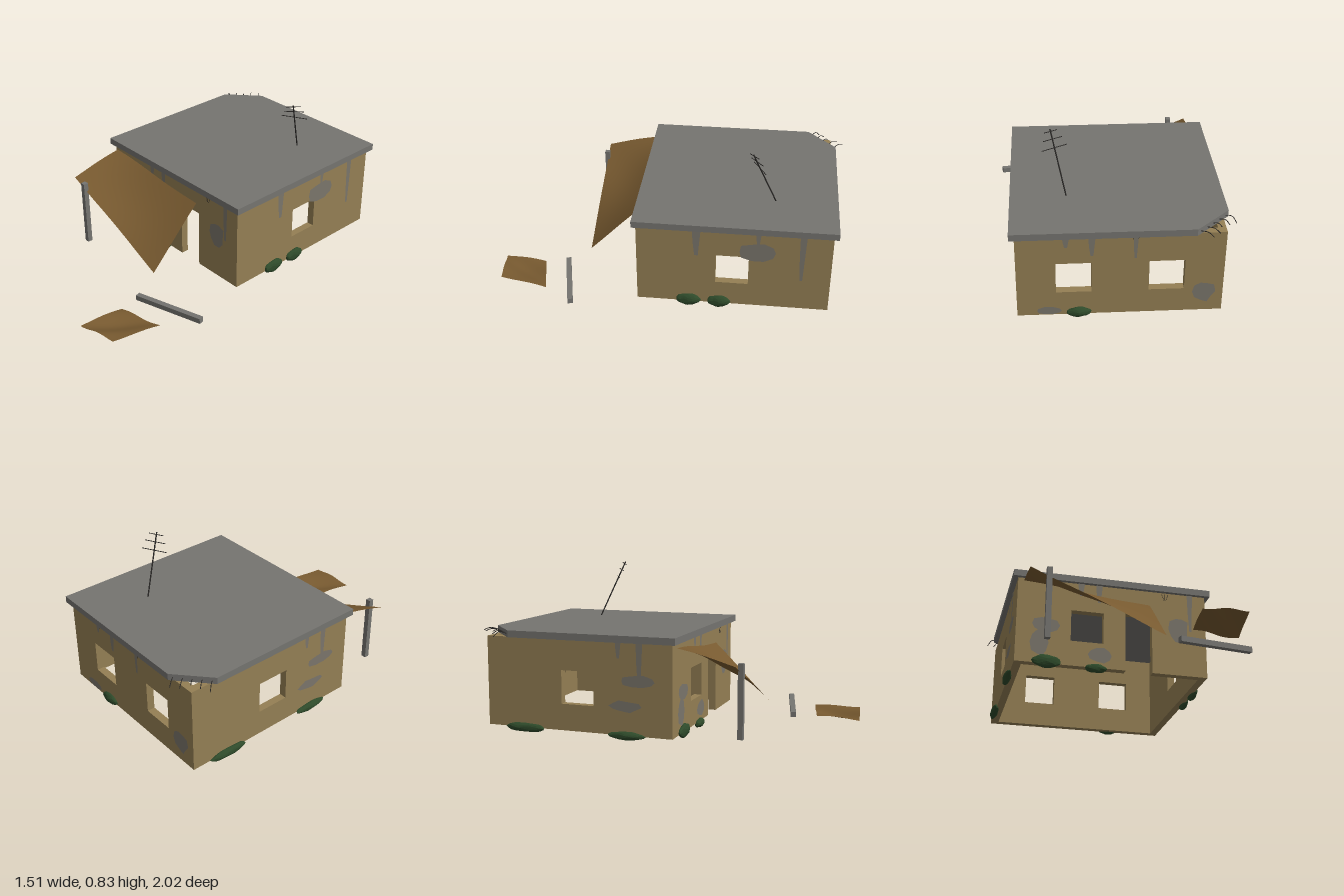
import * as THREE from 'three';

const mat = (name, color, extra = {}) => {
  const m = new THREE.MeshStandardMaterial({ color, ...extra });
  m.name = name;
  return m;
};

let seed = 7;
const rand = () => (seed = (seed * 16807) % 2147483647) / 2147483647;
const V = (x, y, z) => new THREE.Vector3(x, y, z);

export function createModel() {
  const plaster = mat('tan plaster', 0x947f54);
  const concrete = mat('grey concrete', 0x757470);
  const patchGrey = mat('bare concrete', 0x7a756b);
  const cloth = mat('brown cloth', 0x785a30, { side: THREE.DoubleSide });
  const leaf = mat('dark green', 0x2e4a2a, { flatShading: true });
  const iron = mat('dark iron', 0x2a2826);

  const model = new THREE.Group();
  model.name = 'ruinedHouse';
  const add = (parent, name, geometry, material) => {
    const mesh = new THREE.Mesh(geometry, material);
    mesh.name = name;
    parent.add(mesh);
    return mesh;
  };
  // Round bar between two points
  const rod = (parent, name, a, b, r) => {
    const m = add(parent, name, new THREE.CylinderGeometry(r, r, a.distanceTo(b), 6), iron);
    m.position.copy(a).lerp(b, 0.5);
    m.quaternion.setFromUnitVectors(V(0, 1, 0), b.clone().sub(a).normalize());
  };

  // The house stands turned on its plot
  const house = new THREE.Group();
  house.name = 'house';
  house.position.set(0.045, 0, -0.322);
  house.rotation.y = -0.487;
  model.add(house);

  const BASE = 0.03, TOP = 0.49, T = 0.04;
  const win = (x0, x1) => [x0, x1, 0.165, 0.335];

  const rect = (path, x0, x1, y0, y1) => {
    path.moveTo(x0, y0);
    path.lineTo(x1, y0);
    path.lineTo(x1, y1);
    path.lineTo(x0, y1);
    path.closePath();
    return path;
  };

  // One wall side: x runs along the wall, z = 0 is its outer face
  function wallSide(name, angle, half, { windows, door, patches, streaks, bushes, cracks = [] }) {
    const side = new THREE.Group();
    side.name = name;
    side.rotation.y = angle;
    side.position.set(Math.sin(angle) * 0.5, 0, Math.cos(angle) * 0.5);
    house.add(side);

    const s = new THREE.Shape();
    if (door) {
      [[-half, BASE], [door[0], BASE], [door[0], door[2]], [door[1], door[2]], [door[1], BASE],
        [half, BASE], [half, TOP], [-half, TOP]].forEach(([x, y], i) => (i ? s.lineTo(x, y) : s.moveTo(x, y)));
      s.closePath();
    } else rect(s, -half, half, BASE, TOP);
    windows.forEach(w => s.holes.push(rect(new THREE.Path(), ...w)));
    const geo = new THREE.ExtrudeGeometry(s, { depth: T, bevelEnabled: false });
    add(side, 'wall', geo.translate(0, 0, -T), plaster);

    // Ragged spots where the plaster has fallen off
    patches.forEach(([x, y, w, h]) => {
      const pts = [];
      for (let i = 0; i < 10; i++) {
        const a = (i / 10) * Math.PI * 2, r = 0.42 + 0.16 * rand();
        pts.push(new THREE.Vector2(x + Math.cos(a) * w * r, y + Math.sin(a) * h * r));
      }
      add(side, 'plasterPatch', new THREE.ShapeGeometry(new THREE.Shape(pts)), patchGrey).position.z = 0.003;
    });

    // Tapering streaks running down from the roof
    streaks.forEach(([x, w, bottom]) => {
      const mid = (TOP + bottom) / 2;
      const pts = [[-0.5, TOP], [-0.4, mid], [-0.2, bottom], [0.2, bottom], [0.35, mid], [0.5, TOP]]
        .map(([k, y]) => new THREE.Vector2(x + k * w, y));
      add(side, 'streak', new THREE.ShapeGeometry(new THREE.Shape(pts)), patchGrey).position.z = 0.004;
    });

    // Fine cracks under the roof
    cracks.forEach(x => [-0.018, 0, 0.018].forEach(d =>
      rod(side, 'crack', V(x + d, TOP - 0.005, 0), V(x + d * 0.3, TOP - 0.04, 0), 0.0012)));

    // Low flat bushes along the foot
    bushes.forEach(([x, y, w, h]) => {
      const g = new THREE.IcosahedronGeometry(1, 2);
      const p = g.attributes.position;
      for (let i = 0; i < p.count; i++) {
        const a = p.getX(i), b = p.getY(i), c = p.getZ(i);
        const k = 0.93 + 0.07 * Math.sin(5 * a + 3 * c + x * 40) * Math.cos(4 * b);
        p.setXYZ(i, a * k * w / 2, b * k * h / 2, c * k * 0.022);
      }
      g.computeVertexNormals();
      add(side, 'bush', g, leaf).position.set(x, y, 0.004);
    });
  }

  wallSide('frontSide', 0, 0.5, {
    windows: [win(-0.22, -0.05)], door: [0.066, 0.207, 0.35],
    patches: [[0.35, 0.285, 0.11, 0.14], [-0.38, 0.14, 0.09, 0.15], [-0.35, 0.24, 0.13, 0.08], [-0.07, 0.1, 0.13, 0.08]],
    streaks: [[-0.17, 0.035, 0.42], [-0.075, 0.035, 0.39], [0.415, 0.03, 0.28]],
    bushes: [[-0.34, 0.04, 0.16, 0.075], [-0.09, 0.025, 0.12, 0.05]], cracks: [0.28],
  });
  wallSide('backSide', Math.PI, 0.5, {
    windows: [win(-0.31, -0.138), win(0.138, 0.31)],
    patches: [[0.405, 0.145, 0.11, 0.12], [-0.345, 0.055, 0.13, 0.045]],
    streaks: [[-0.26, 0.035, 0.43], [-0.137, 0.035, 0.38], [0.07, 0.025, 0.36]],
    bushes: [[-0.2, 0.045, 0.13, 0.06]], cracks: [-0.26, 0.07],
  });
  wallSide('rightSide', Math.PI / 2, 0.46, {
    windows: [win(-0.09, 0.08)],
    patches: [[0.125, 0.37, 0.19, 0.11]],
    streaks: [[-0.19, 0.045, 0.33], [0.125, 0.03, 0.42], [0.35, 0.035, 0.21]],
    bushes: [[-0.23, 0.043, 0.14, 0.075], [-0.07, 0.043, 0.13, 0.075]],
  });
  wallSide('leftSide', -Math.PI / 2, 0.46, {
    windows: [win(-0.087, 0.087)],
    patches: [[0.32, 0.3, 0.18, 0.06], [0.25, 0.175, 0.17, 0.055]],
    streaks: [[0.33, 0.035, 0.28], [0.22, 0.03, 0.41]],
    bushes: [[-0.29, 0.03, 0.23, 0.05], [0.26, 0.03, 0.21, 0.045]],
  });

  // Roof slab with one broken corner
  const slab = new THREE.Shape([[-0.525, -0.52], [0.525, -0.52], [0.525, 0.523], [-0.355, 0.523], [-0.525, 0.37]]
    .map(([x, y]) => new THREE.Vector2(x, y)));
  const slabGeo = new THREE.ExtrudeGeometry(slab, { depth: 0.035, bevelEnabled: false }).rotateX(-Math.PI / 2);
  add(house, 'roof', slabGeo, concrete).position.y = TOP;

  // Bent bars sticking out of the broken corner
  for (let i = 0; i < 5; i++) {
    const t = 0.1 + i * 0.2;
    const x = -0.525 + 0.17 * t, z = -0.37 - 0.153 * t, r = 0.045 + 0.035 * rand();
    const curve = new THREE.CatmullRomCurve3([
      V(x, 0.507, z), V(x - r * 0.4, 0.518, z - r * 0.4), V(x - r * 0.7, 0.49 + 0.02 * rand(), z - r * 0.75)]);
    add(house, 'bentBar', new THREE.TubeGeometry(curve, 8, 0.002, 5), iron);
  }

  // Leaning aerial with three cross bars
  const foot = V(0.357, 0.52, -0.385), tip = V(0.361, 0.83, -0.24);
  rod(model, 'aerialMast', foot, tip, 0.0035);
  [[0.725, 0.07, 0], [0.855, 0.054, 0.004], [0.968, 0.038, 0.004]].forEach(([t, w, d]) => {
    const c = foot.clone().lerp(tip, t);
    rod(model, 'aerialBar', V(c.x - w, c.y - d, c.z + d), V(c.x + w, c.y + d, c.z - d * 2), 0.002);
  });

  // Cloth stretched between four corners, bulging in the middle
  function sheet(name, [a, b, c, d], sag, wave) {
    const g = new THREE.PlaneGeometry(1, 1, 12, 12);
    const p = g.attributes.position;
    for (let i = 0; i < p.count; i++) {
      const u = p.getX(i) + 0.5, v = 0.5 - p.getY(i);
      const q = a.clone().lerp(b, u).lerp(d.clone().lerp(c, u), v);
      q.y += sag * Math.sin(Math.PI * u) * Math.sin(Math.PI * v) + wave * Math.sin(u * 7 + v * 4);
      p.setXYZ(i, q.x, q.y, q.z);
    }
    g.computeVertexNormals();
    add(model, name, g, cloth);
  }
  sheet('awning', [V(-0.61, 0.47, -0.09), V(-0.02, 0.405, 0.215), V(-0.16, 0.11, 0.48), V(-0.755, 0.4, 0.165)], -0.012, 0.004);
  sheet('fallenCloth', [V(-0.235, 0.03, 0.725), V(0.005, 0.035, 0.79), V(-0.155, 0.058, 0.995), V(-0.37, 0.032, 0.915)], -0.014, 0.006);

  // Awning post still standing, and the one that fell
  const post = add(model, 'standingPost', new THREE.BoxGeometry(0.027, 0.37, 0.027), concrete);
  post.position.set(-0.674, 0.215, 0.21);
  post.rotation.y = -0.487;
  const fallen = add(model, 'fallenPost', new THREE.BoxGeometry(0.4, 0.028, 0.028), concrete);
  fallen.position.set(-0.005, 0.045, 0.655);
  fallen.rotation.set(0, -0.25, 0.055);

  return model;
}
